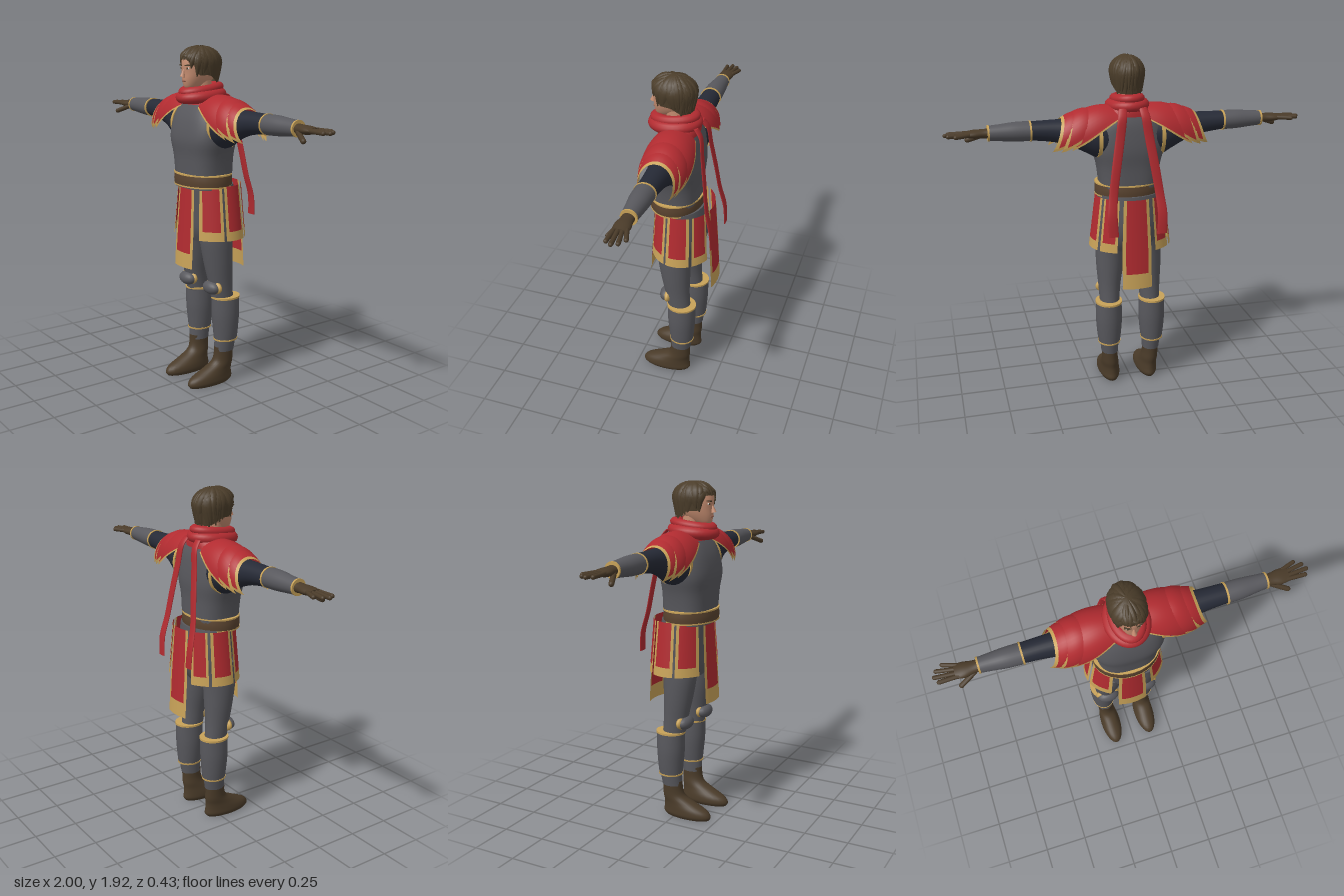
import * as THREE from 'three';

const material = (name, color, side = THREE.FrontSide) => {
  const m = new THREE.MeshStandardMaterial({ color, side });
  m.name = name;
  return m;
};

const lerp = THREE.MathUtils.lerp;
const rad = THREE.MathUtils.degToRad;

// Smooth body through elliptical rings [t, a, b, ra, rb].
// axis 'y': t = y, a = x, b = z.  axis 'x': t = x, a = z, b = y.
function loft(rings, { axis = 'y', n = 28, e = 2, steps = 4 } = {}) {
  const rows = [];
  const at = (i) => rings[Math.min(Math.max(i, 0), rings.length - 1)];
  for (let i = 0; i < rings.length - 1; i++) {
    for (let s = 0; s < steps; s++) {
      const t = s / steps;
      rows.push(rings[i].map((p1, k) => {
        const p0 = at(i - 1)[k], p2 = at(i + 1)[k], p3 = at(i + 2)[k];
        return p1 + 0.5 * t * (p2 - p0 + t * (2 * p0 - 5 * p1 + 4 * p2 - p3 + t * (3 * (p1 - p2) + p3 - p0)));
      }));
    }
  }
  rows.push(rings[rings.length - 1]);
  const pos = [], idx = [];
  const put = (t, a, b) => (axis === 'y' ? pos.push(a, t, b) : pos.push(t, b, a));
  const bend = (c) => Math.sign(c) * Math.abs(c) ** (2 / e);
  const ring = ([t, a, b, ra, rb]) => {
    for (let j = 0; j < n; j++) {
      const q = (j / n) * Math.PI * 2;
      put(t, a + ra * bend(Math.cos(q)), b + rb * bend(Math.sin(q)));
    }
  };
  rows.forEach(ring);
  for (let i = 0; i < rows.length - 1; i++) {
    for (let j = 0; j < n; j++) {
      const a = i * n + j, b = i * n + (j + 1) % n;
      idx.push(a, a + n, b, b, a + n, b + n);
    }
  }
  // End caps keep their own corners so the rims stay sharp
  [rows[0], rows[rows.length - 1]].forEach((r, top) => {
    const base = pos.length / 3;
    ring(r);
    put(r[0], r[1], r[2]);
    for (let j = 0; j < n; j++) {
      const a = base + j, b = base + (j + 1) % n;
      if (top) idx.push(a, base + n, b);
      else idx.push(b, base + n, a);
    }
  });
  return surface(pos, idx);
}

function surface(pos, idx) {
  const g = new THREE.BufferGeometry();
  g.setAttribute('position', new THREE.Float32BufferAttribute(pos, 3));
  g.setIndex(idx);
  g.computeVertexNormals();
  return g;
}

// Open sheet from fn(u, v) over a sub-rectangle
function sheet(fn, u0, u1, v0, v1, nu = 12, nv = 8) {
  const pos = [], idx = [];
  for (let i = 0; i <= nv; i++) {
    for (let j = 0; j <= nu; j++) pos.push(...fn(lerp(u0, u1, j / nu), lerp(v0, v1, i / nv)));
  }
  for (let i = 0; i < nv; i++) {
    for (let j = 0; j < nu; j++) {
      const a = i * (nu + 1) + j, b = a + nu + 1;
      idx.push(a, b, a + 1, a + 1, b, b + 1);
    }
  }
  return surface(pos, idx);
}

function mirrored(geo) {
  const g = geo.clone().scale(-1, 1, 1);
  const ix = g.index;
  for (let i = 0; i < ix.count; i += 3) {
    const a = ix.getX(i);
    ix.setX(i, ix.getX(i + 1));
    ix.setX(i + 1, a);
  }
  return g;
}

const blob = (x, y, z, rx, ry, rz) => new THREE.SphereGeometry(1, 20, 14).scale(rx, ry, rz).translate(x, y, z);

function finger(p, q, r) {
  const a = new THREE.Vector3(...p), d = new THREE.Vector3(...q).sub(a);
  const turn = new THREE.Quaternion().setFromUnitVectors(new THREE.Vector3(0, 1, 0), d.clone().normalize());
  return new THREE.CapsuleGeometry(r, d.length(), 4, 10).applyQuaternion(turn).translate(...a.addScaledVector(d, 0.5).toArray());
}

export function createModel() {
  const model = new THREE.Group();
  model.name = 'armouredFigure';
  const steel = material('steel grey', 0x58585d);
  const red = material('red cloth', 0xb12b30, THREE.DoubleSide);
  const gold = material('gold trim', 0xc8a258, THREE.DoubleSide);
  const navy = material('navy cloth', 0x262a36);
  const leather = material('dark leather', 0x4a3b29);
  const belt = material('belt leather', 0x59432f);
  const skin = material('skin', 0xc48c70);
  const hair = material('brown hair', 0x4b3d2a, THREE.DoubleSide);
  const white = material('eye white', 0xd8d0c8);
  const lip = material('lip', 0x99604f);

  const add = (name, geo, mat) => {
    const m = new THREE.Mesh(geo, mat);
    m.name = name;
    model.add(m);
  };
  const pair = (name, geo, mat) => {
    add('left ' + name, geo, mat);
    add('right ' + name, mirrored(geo), mat);
  };
  // Cloth panel: coloured middle with a border on both sides and the far end
  const bordered = (name, fn, bu, bv, put = add) => {
    put(name, sheet(fn, bu, 1 - bu, 0, 1 - bv, 20), red);
    put(name + ' trim', sheet(fn, 0, bu, 0, 1, 2), gold);
    put(name + ' trim', sheet(fn, 1 - bu, 1, 0, 1, 2), gold);
    put(name + ' trim', sheet(fn, bu, 1 - bu, 1 - bv, 1, 20, 2), gold);
  };

  // Torso, belt and hips
  add('cuirass', loft([[1.14, 0, 0.03, 0.165, 0.132], [1.22, 0, 0.03, 0.166, 0.135], [1.32, 0, 0.032, 0.178, 0.138],
    [1.41, 0, 0.033, 0.2, 0.146], [1.5, 0, 0.028, 0.197, 0.135], [1.57, 0, 0.02, 0.175, 0.115], [1.64, 0, 0.012, 0.1, 0.08]], { e: 2.7, n: 40 }), steel);
  add('belt', loft([[1.15, 0, 0.033, 0.187, 0.146], [1.185, 0, 0.033, 0.189, 0.148], [1.22, 0, 0.033, 0.185, 0.144]]), belt);
  for (const y of [1.15, 1.214]) add('belt trim', loft([[y, 0, 0.033, 0.189, 0.148], [y + 0.008, 0, 0.033, 0.189, 0.148]], { steps: 1 }), gold);
  add('hips', loft([[0.83, 0, 0.005, 0.14, 0.09], [0.9, 0, 0, 0.175, 0.125], [1.0, 0, -0.002, 0.185, 0.14], [1.16, 0, 0.015, 0.178, 0.14]]), steel);

  // Skirt panels on a ring that widens downward
  const panel = (a0, a1, bottom) => (u, v) => {
    const a = rad(lerp(a0, a1, u)), y = lerp(1.16, bottom, v), t = (1.16 - y) / 0.3;
    return [(0.195 + 0.038 * Math.min(t, 1)) * Math.sin(a), y, -0.012 + (0.165 + 0.019 * t) * Math.cos(a)];
  };
  bordered('front tabard', panel(-21, 21, 0.69), 0.12, 0.18);
  bordered('back tabard', panel(159, 201, 0.65), 0.12, 0.17);
  bordered('front skirt panel', panel(31, 72, 0.86), 0.13, 0.17, pair);
  bordered('side skirt panel', panel(76, 118, 0.86), 0.13, 0.17, pair);
  bordered('rear skirt panel', panel(123, 152, 0.86), 0.14, 0.17, pair);

  // Legs
  pair('thigh', loft([[0.5, 0.12, -0.015, 0.056, 0.066], [0.6, 0.118, -0.002, 0.063, 0.072], [0.72, 0.112, 0.01, 0.077, 0.085],
    [0.85, 0.106, 0.018, 0.085, 0.098], [0.96, 0.095, 0.01, 0.088, 0.11]]), steel);
  pair('greave', loft([[0.255, 0.128, -0.032, 0.062, 0.068], [0.32, 0.128, -0.032, 0.07, 0.074], [0.41, 0.128, -0.031, 0.076, 0.081], [0.515, 0.128, -0.031, 0.073, 0.082]]), steel);
  pair('greave bottom trim', loft([[0.255, 0.128, -0.032, 0.065, 0.071], [0.264, 0.128, -0.032, 0.066, 0.072]], { steps: 1 }), gold);
  pair('greave top trim', loft([[0.507, 0.128, -0.031, 0.077, 0.086], [0.518, 0.128, -0.031, 0.077, 0.086]], { steps: 1 }), gold);
  pair('shin', loft([[0.19, 0.124, -0.024, 0.049, 0.06], [0.26, 0.127, -0.03, 0.054, 0.064]]), steel);
  pair('knee trim', blob(0.12, 0.578, 0.045, 0.071, 0.042, 0.026).rotateX(0), gold);
  pair('knee cap', blob(0.118, 0.576, 0.06, 0.064, 0.039, 0.04), steel);
  pair('boot', loft([[0, 0.115, 0.07, 0.05, 0.136], [0.02, 0.115, 0.068, 0.061, 0.149], [0.05, 0.115, 0.06, 0.06, 0.137], [0.085, 0.117, 0.025, 0.053, 0.1],
    [0.12, 0.12, -0.01, 0.049, 0.07], [0.16, 0.123, -0.02, 0.046, 0.06], [0.215, 0.124, -0.022, 0.047, 0.059]]), leather);

  // Arms
  const alongX = { axis: 'x' };
  pair('sleeve', loft([[0.1, 0.015, 1.48, 0.1, 0.105], [0.18, 0.015, 1.48, 0.108, 0.112], [0.24, 0.014, 1.495, 0.095, 0.098],
    [0.32, 0.014, 1.513, 0.073, 0.077], [0.42, 0.014, 1.528, 0.06, 0.06], [0.55, 0.014, 1.535, 0.054, 0.05]], alongX), navy);
  pair('armhole trim', loft([[0.165, 0.015, 1.48, 0.114, 0.117], [0.185, 0.015, 1.48, 0.112, 0.116]], { axis: 'x', steps: 1 }), gold);
  pair('bracer', loft([[0.54, 0.015, 1.534, 0.057, 0.053], [0.62, 0.014, 1.535, 0.055, 0.052], [0.7, 0.012, 1.535, 0.047, 0.045], [0.765, 0.011, 1.535, 0.041, 0.04]], alongX), steel);
  pair('bracer inner trim', loft([[0.536, 0.015, 1.534, 0.06, 0.056], [0.546, 0.015, 1.534, 0.06, 0.056]], { axis: 'x', steps: 1 }), gold);
  pair('bracer outer trim', loft([[0.758, 0.011, 1.535, 0.044, 0.043], [0.768, 0.011, 1.535, 0.044, 0.043]], { axis: 'x', steps: 1 }), gold);
  pair('palm', loft([[0.75, 0.011, 1.535, 0.033, 0.028], [0.79, 0.012, 1.535, 0.034, 0.024], [0.84, 0.012, 1.535, 0.043, 0.022], [0.885, 0.01, 1.536, 0.039, 0.014]], alongX), leather);
  [[-0.02, 0.935, -0.044], [0, 0.972, -0.02], [0.02, 0.987, 0.01], [0.038, 0.97, 0.04]].forEach(([z0, x, z1]) =>
    pair('finger', finger([0.865, 1.537, z0], [x, 1.535, z1], 0.0115), leather));
  pair('thumb', finger([0.79, 1.522, 0.035], [0.87, 1.49, 0.072], 0.014), leather);

  // Layered shoulder guards, drooping further at the tips
  const lame = (x0, x1, top0, top1, reach0, reach1) => (u, v) => {
    const s = 2 * u - 1, q = s * rad(lerp(reach0, reach1, v));
    const r = lerp(top0, top1, v) + 0.014 * Math.sin(Math.PI * v);
    return [lerp(x0, x1, v) + 0.06 * s * s * v, lerp(1.5, 1.49, v) + r * Math.cos(q), 0.015 + (0.85 * r + 0.004) * Math.sin(q)];
  };
  bordered('lower shoulder plate', lame(0.25, 0.375, 0.125, 0.106, 80, 125), 0.04, 0.13, pair);
  bordered('middle shoulder plate', lame(0.2, 0.33, 0.14, 0.124, 75, 120), 0.04, 0.12, pair);
  bordered('upper shoulder plate', lame(0.08, 0.275, 0.152, 0.138, 55, 112), 0.03, 0.06, pair);

  // Scarf with two tails down the back
  add('cowl', loft([[1.6, 0, 0.02, 0.16, 0.11], [1.635, 0, 0.02, 0.125, 0.105], [1.67, 0, 0.03, 0.09, 0.09]]), red);
  const wrap = (y, z, rx, rz, tube, tilt) => new THREE.TorusGeometry(1, tube / rx, 14, 36).rotateX(Math.PI / 2)
    .scale(rx, rx, rz).rotateX(tilt).translate(0, y, z);
  add('scarf lower wrap', wrap(1.645, 0.045, 0.088, 0.108, 0.033, 0.08), red);
  add('scarf upper wrap', wrap(1.68, 0.045, 0.068, 0.1, 0.026, 0.12), red);
  pair('scarf tail', loft([[0.97, 0.135, -0.208, 0.028, 0.005], [1.08, 0.14, -0.2, 0.027, 0.006], [1.2, 0.128, -0.172, 0.025, 0.006],
    [1.35, 0.105, -0.152, 0.026, 0.006], [1.5, 0.08, -0.13, 0.026, 0.006], [1.6, 0.065, -0.118, 0.025, 0.007], [1.65, 0.055, -0.085, 0.022, 0.01]], { n: 14 }), red);

  // Head and face
  add('neck', loft([[1.6, 0, 0.03, 0.055, 0.055], [1.74, 0, 0.045, 0.052, 0.055]]), skin);
  add('head', loft([[1.683, 0, 0.108, 0.02, 0.03], [1.695, 0, 0.095, 0.036, 0.057], [1.73, 0, 0.07, 0.056, 0.09], [1.77, 0, 0.06, 0.068, 0.1],
    [1.82, 0, 0.054, 0.072, 0.108], [1.87, 0, 0.05, 0.066, 0.095], [1.9, 0, 0.05, 0.035, 0.05]], { e: 2.2 }), skin);
  add('nose', new THREE.ConeGeometry(0.014, 0.055, 12).scale(1, 1, 1.2).rotateX(-0.2).translate(0, 1.775, 0.161), skin);
  add('mouth', blob(0, 1.727, 0.158, 0.019, 0.005, 0.005), lip);
  pair('eye', blob(0.028, 1.795, 0.152, 0.013, 0.006, 0.005), white);
  pair('iris', blob(0.028, 1.795, 0.156, 0.006, 0.006, 0.003), hair);
  pair('eyebrow', new THREE.BoxGeometry(0.034, 0.007, 0.009).rotateY(0.25).rotateZ(0.08).translate(0.03, 1.811, 0.155), hair);
  pair('ear', blob(0.074, 1.775, 0.045, 0.009, 0.026, 0.017), skin);

  // Hair: a cap with a face opening, covered in tapered locks
  const hairPoint = (a, p, r) => {
    const over = Math.max(p - Math.PI / 2, 0), s = over ? 1 - 0.1 * over : Math.sin(p);
    const h = over ? -over : Math.cos(p);
    return [0.09 * r * s * Math.sin(a), 1.824 + 0.09 * (over ? 1 : r) * h, 0.05 + 0.117 * r * s * Math.cos(a)];
  };
  const hairEnd = (a) => {
    const f = Math.abs(Math.atan2(Math.sin(a), Math.cos(a)));
    return f < 1.1 ? lerp(1.38, 2.3, THREE.MathUtils.smoothstep(f, 0.6, 1.05)) : lerp(2.3, 2.75, THREE.MathUtils.smoothstep(f, 1.5, 2.3));
  };
  add('hair cap', sheet((u, v) => {
    const a = Math.PI + u * Math.PI * 2;
    return hairPoint(a, hairEnd(a) * v, 1);
  }, 0, 1, 0, 1, 48, 14), hair);
  let seed = 7;
  const rnd = () => (seed = (seed * 16807) % 2147483647) / 2147483647;
  for (let i = 0; i < 64; i++) {
    const a = i * 2.4, start = 0.1 + rnd() * 0.9, end = hairEnd(a) * (0.88 + rnd() * 0.17);
    const width = 0.5 + rnd() * 0.25, lift = 0.05 + rnd() * 0.06, sway = (rnd() - 0.5) * 0.5;
    add('hair lock', sheet((u, v) => hairPoint(a + (u - 0.5) * width * (1 - 0.9 * v * v) + sway * v,
      lerp(start, end, v), 0.99 + lift * Math.sin(Math.PI * u) * Math.sin(Math.PI * (0.1 + 0.8 * v)) + 0.02 * v), 0, 1, 0, 1, 6, 8), hair);
  }
  return model;
}
